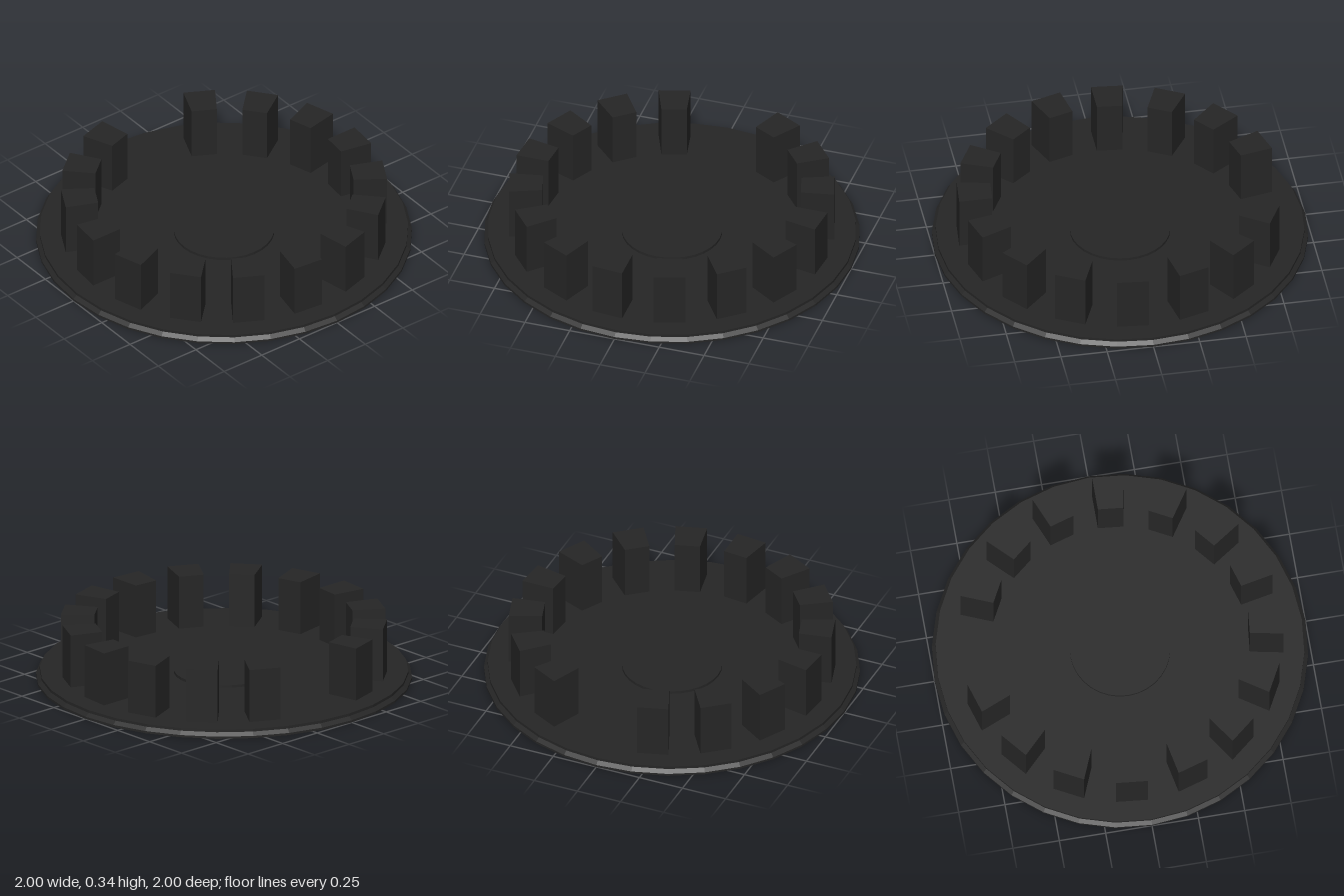
import * as THREE from 'three';

const SIDES = 32;
const STEP = (Math.PI * 2) / SIDES;
const FLOOR = 0.03, DECK = 0.045, TOP = 0.337;

// Point on the plan at radius r and segment index i (from +x towards +z)
const at = (r, i) => new THREE.Vector2(r * Math.cos(i * STEP), -r * Math.sin(i * STEP));

// Faceted arc from segment a to segment b
function arc(r, a, b) {
  const pts = [];
  for (let i = a; i <= b; i++) pts.push(at(r, i));
  return pts;
}
const circle = (r) => arc(r, 0, SIDES - 1);
const sector = (r0, r1, a, b) => [...arc(r1, a, b), ...arc(r0, a, b).reverse()];

// Plan outline with holes, raised from y0 to y1
function slab(outline, holes, y0, y1) {
  const shape = new THREE.Shape(outline);
  holes.forEach((h) => shape.holes.push(new THREE.Path(h)));
  const geo = new THREE.ExtrudeGeometry(shape, { depth: y1 - y0, bevelEnabled: false });
  geo.rotateX(-Math.PI / 2);
  geo.translate(0, y0, 0);
  return geo;
}

export function createModel() {
  const group = new THREE.Group();
  const material = new THREE.MeshStandardMaterial({ color: 0x262626, flatShading: true });
  const add = (name, geo) => {
    const mesh = new THREE.Mesh(geo, material);
    mesh.name = name;
    group.add(mesh);
  };

  // Base disc with a sloped rim; its top is the floor of every recess
  const profile = [[0, 0], [1, 0], [1, 0.012], [0.98, FLOOR], [0, FLOOR]];
  add('baseDisc', new THREE.LatheGeometry(profile.map((p) => new THREE.Vector2(...p)), SIDES));

  // Deck with the rim groove (bridged at the gap), radial slots and centre opening
  const holes = [circle(0.305), sector(0.87, 0.92, 17, 16 + SIDES)];
  for (let i = 1; i < SIDES; i += 2) holes.push(sector(0.487, 0.688, i, i + 1));
  add('deck', slab(circle(0.98), holes, FLOOR, DECK));

  // Raised ring around the centre recess
  add('hubRing', slab(circle(0.267), [circle(0.12)], FLOOR, DECK));

  // Upright blocks on alternate segments, one left out on the -x side
  for (let i = 0; i < SIDES; i += 2) {
    if (i !== 16) add('block', slab(sector(0.69, 0.868, i, i + 1), [], DECK, TOP));
  }

  return group;
}
